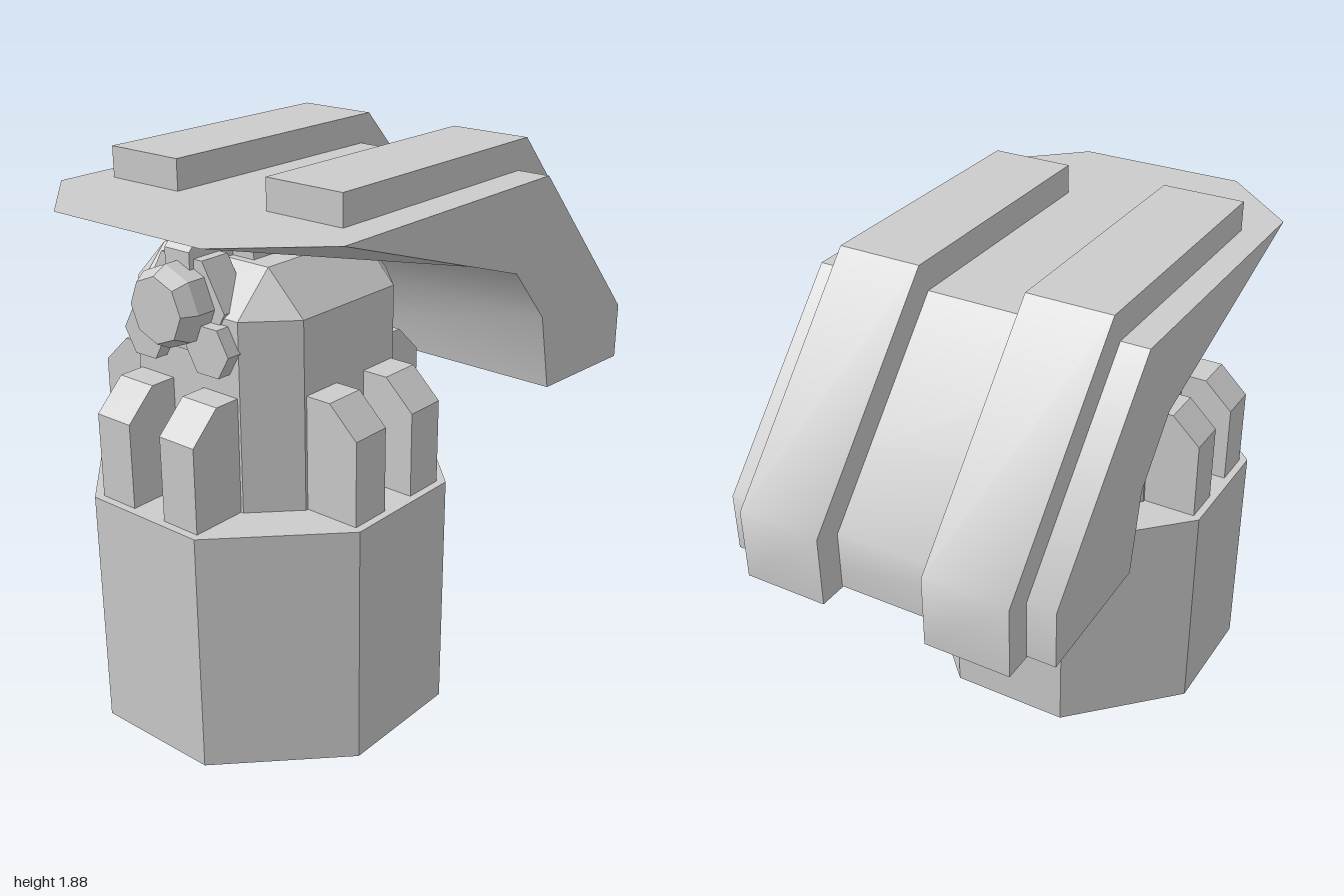
import * as THREE from 'three';
import { toCreasedNormals } from 'three/addons/utils/BufferGeometryUtils.js';
import { ConvexGeometry } from 'three/addons/geometries/ConvexGeometry.js';

const smooth = new THREE.MeshStandardMaterial({ color: 0xcccccc });
const flat = new THREE.MeshStandardMaterial({ color: 0xcccccc, flatShading: true, side: THREE.DoubleSide });

function add(parent, name, geometry, material = flat) {
  const mesh = new THREE.Mesh(geometry, material);
  mesh.name = name;
  parent.add(mesh);
  return mesh;
}

// Side profile given as [z, y] pairs, extruded across x and centred on x
function sideProfile(points, width, x = 0) {
  const shape = new THREE.Shape(points.map(([z, y]) => new THREE.Vector2(z, y)));
  const geometry = new THREE.ExtrudeGeometry(shape, { depth: width, bevelEnabled: false });
  return geometry.rotateY(-Math.PI / 2).translate(x + width / 2, 0, 0);
}

// Stack of squares with cut corners; each ring is [y, half width, half length of its flat side]
function cutSquareLoft(rings) {
  const loops = rings.map(([y, h, c]) =>
    [[c, h], [h, c], [h, -c], [c, -h], [-c, -h], [-h, -c], [-h, c], [-c, h]].map(([x, z]) => [x, y, z]));
  const positions = [];
  for (let r = 0; r < loops.length - 1; r++) {
    for (let i = 0; i < 8; i++) {
      const j = (i + 1) % 8;
      const a = loops[r][i], b = loops[r][j], c = loops[r + 1][j], d = loops[r + 1][i];
      positions.push(...a, ...b, ...c, ...a, ...c, ...d);
    }
  }
  const geometry = new THREE.BufferGeometry();
  geometry.setAttribute('position', new THREE.Float32BufferAttribute(positions, 3));
  geometry.computeVertexNormals();
  return geometry;
}

// Prism pointing along +z, from z0 to z1
function prism(sides, rFront, rBack, z0, z1, x, y, turn = 0) {
  return new THREE.CylinderGeometry(rFront, rBack, z1 - z0, sides)
    .rotateX(Math.PI / 2).rotateZ(turn).translate(x, y, (z0 + z1) / 2);
}

export function createModel() {
  const model = new THREE.Group();
  model.name = 'hoodedPost';

  // Post: hollow base open underneath, neck with bevelled top
  const post = new THREE.Group();
  post.name = 'post';
  post.position.set(-0.007, 0, 0.403);
  model.add(post);
  add(post, 'base', cutSquareLoft([[0, 0.587, 0.227], [0.84, 0.587, 0.227], [0.84, 0, 0]]));
  add(post, 'neck', cutSquareLoft([[0.84, 0.3625, 0.222], [1.48, 0.3625, 0.222], [1.62, 0.225, 0.225], [1.62, 0, 0]]));

  // A pair of chamfered blocks on each of the four sides
  const block = [[0.3, 0.84], [0.56, 0.84], [0.56, 1.13], [0.455, 1.23], [0.3, 1.23]];
  for (let side = 0; side < 4; side++) {
    const pair = new THREE.Group();
    pair.name = 'blockPair';
    pair.rotation.y = side * Math.PI / 2;
    for (const s of [-1, 1]) add(pair, 'block', sideProfile(block, 0.145, s * 0.14));
    post.add(pair);
  }

  // Hood: bent slab with a wedge nose whose corners are cut
  const hood = new THREE.Group();
  hood.name = 'hood';
  model.add(hood);
  const slab = [[0.73, 1.78], [-0.34, 1.78], [-0.9, 1.18], [-0.9, 0.975], [-0.41, 1.0],
    [-0.35, 1.28], [-0.17, 1.48], [0.1, 1.57]];
  add(hood, 'hoodSlab', toCreasedNormals(sideProfile(slab, 1.2), 0.79), smooth);
  const nose = [];
  for (const s of [-1, 1]) {
    for (const [x, y, z] of [[0.31, 1.78, 1], [0.6, 1.78, 0.73], [0.6, 1.57, 0.1]]) {
      nose.push(new THREE.Vector3(s * x, y, z));
    }
  }
  add(hood, 'hoodNose', new ConvexGeometry(nose));

  // Raised strips over the hood
  const strip = [[0.59, 1.885], [-0.385, 1.885], [-1, 1.22], [-1, 0.97], [-0.89, 0.97],
    [-0.89, 1.17], [-0.33, 1.77], [0.59, 1.77]];
  for (const x of [-0.35, 0.33]) {
    add(hood, 'hoodStrip', toCreasedNormals(sideProfile(strip, 0.3, x), 0.79), smooth);
  }

  // Lens assembly on the front of the neck
  const lens = new THREE.Group();
  lens.name = 'lensAssembly';
  lens.position.x = -0.007;
  model.add(lens);
  const flatTop = Math.PI / 6;
  add(lens, 'lensMount', prism(6, 0.175, 0.175, 0.66, 0.772, 0, 1.495, flatTop));
  add(lens, 'lensBarrel', prism(8, 0.135, 0.135, 0.74, 0.84, 0, 1.502));
  add(lens, 'lensRim', prism(8, 0.108, 0.135, 0.84, 0.89, 0, 1.502));
  for (const s of [-1, 1]) {
    add(lens, 'smallLens', prism(6, 0.09, 0.09, 0.74, 0.815, s * 0.137, 1.38, flatTop));
  }
  add(lens, 'topBracket', sideProfile(
    [[0.55, 1.6], [0.79, 1.6], [0.79, 1.67], [0.735, 1.725], [0.55, 1.725]], 0.105));
  add(lens, 'neckCap', sideProfile(
    [[0.6, 1.6], [0.6, 1.66], [0.38, 1.66], [0.2, 1.6]], 0.28));

  return model;
}
